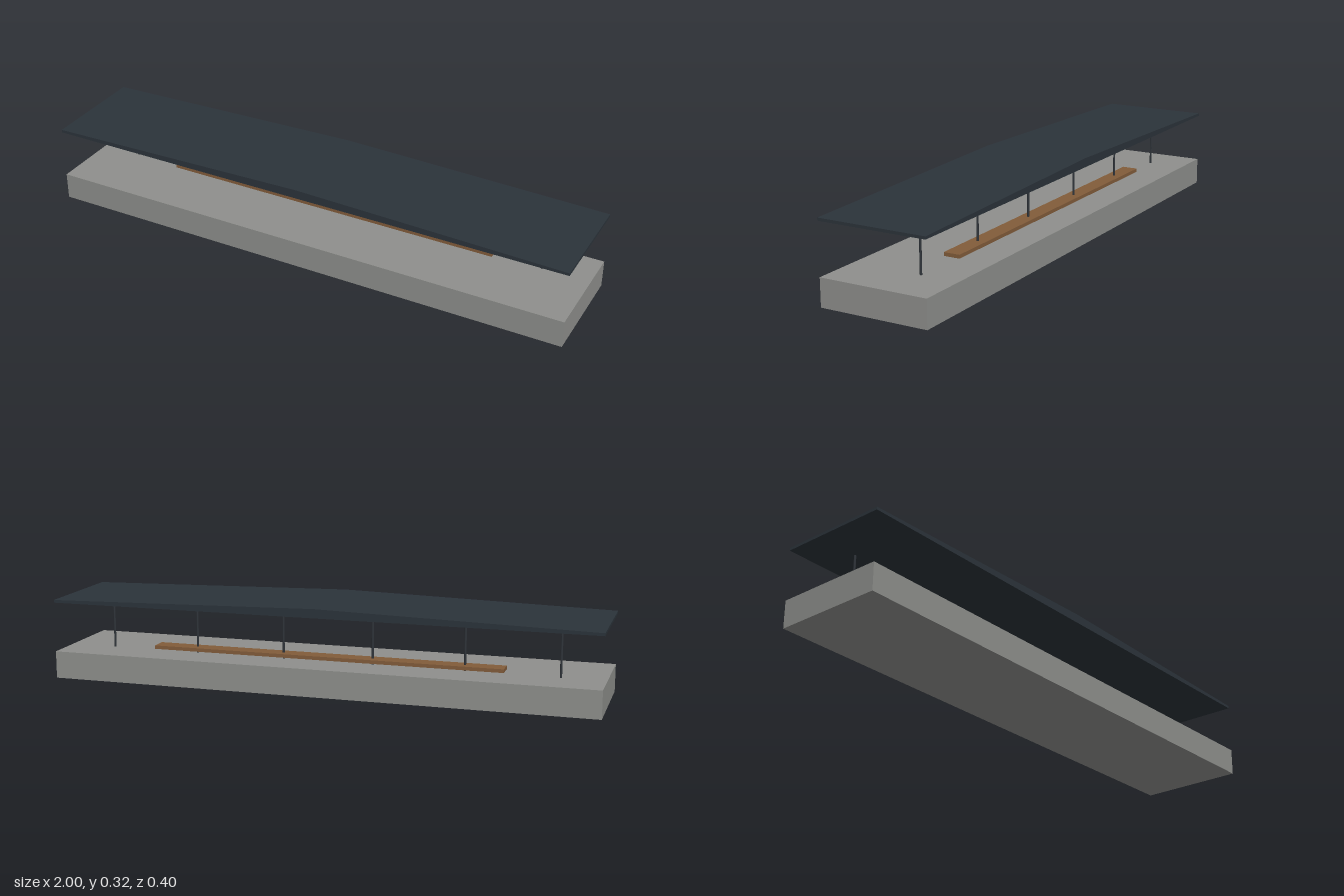
import * as THREE from 'three';

function material(name, color) {
  const m = new THREE.MeshStandardMaterial({ color });
  m.name = name;
  return m;
}

export function createModel() {
  const group = new THREE.Group();
  group.name = 'platformShelter';

  const concrete = material('concrete grey', 0x8e8f8c);
  const slate = material('slate roof', 0x2b333a);
  const steel = material('dark steel', 0x30353b);
  const wood = material('brown wood', 0x825c3a);

  const add = (name, geometry, mat, x, y, z) => {
    const mesh = new THREE.Mesh(geometry, mat);
    mesh.name = name;
    mesh.position.set(x, y, z);
    group.add(mesh);
  };

  // Concrete platform
  add('platform', new THREE.BoxGeometry(2, 0.1, 0.4), concrete, 0, 0.05, 0);

  // Long bench slab held by the posts
  add('bench', new THREE.BoxGeometry(1.3, 0.013, 0.06), wood, 0, 0.1155, -0.06);

  // Row of slim posts, evenly spaced and set towards the back
  const postGeometry = new THREE.CylinderGeometry(0.004, 0.004, 0.186, 8);
  for (let i = 0; i < 6; i++) {
    add('post', postGeometry, steel, -0.842 + i / 3, 0.193, -0.06);
  }

  // Shallow gabled roof with a flat underside
  const profile = new THREE.Shape([
    new THREE.Vector2(-1, 0.283),
    new THREE.Vector2(1, 0.283),
    new THREE.Vector2(1, 0.293),
    new THREE.Vector2(0, 0.316),
    new THREE.Vector2(-1, 0.293),
  ]);
  const roof = new THREE.ExtrudeGeometry(profile, { depth: 0.4, bevelEnabled: false });
  add('roof', roof, slate, 0, 0, -0.2);

  return group;
}
